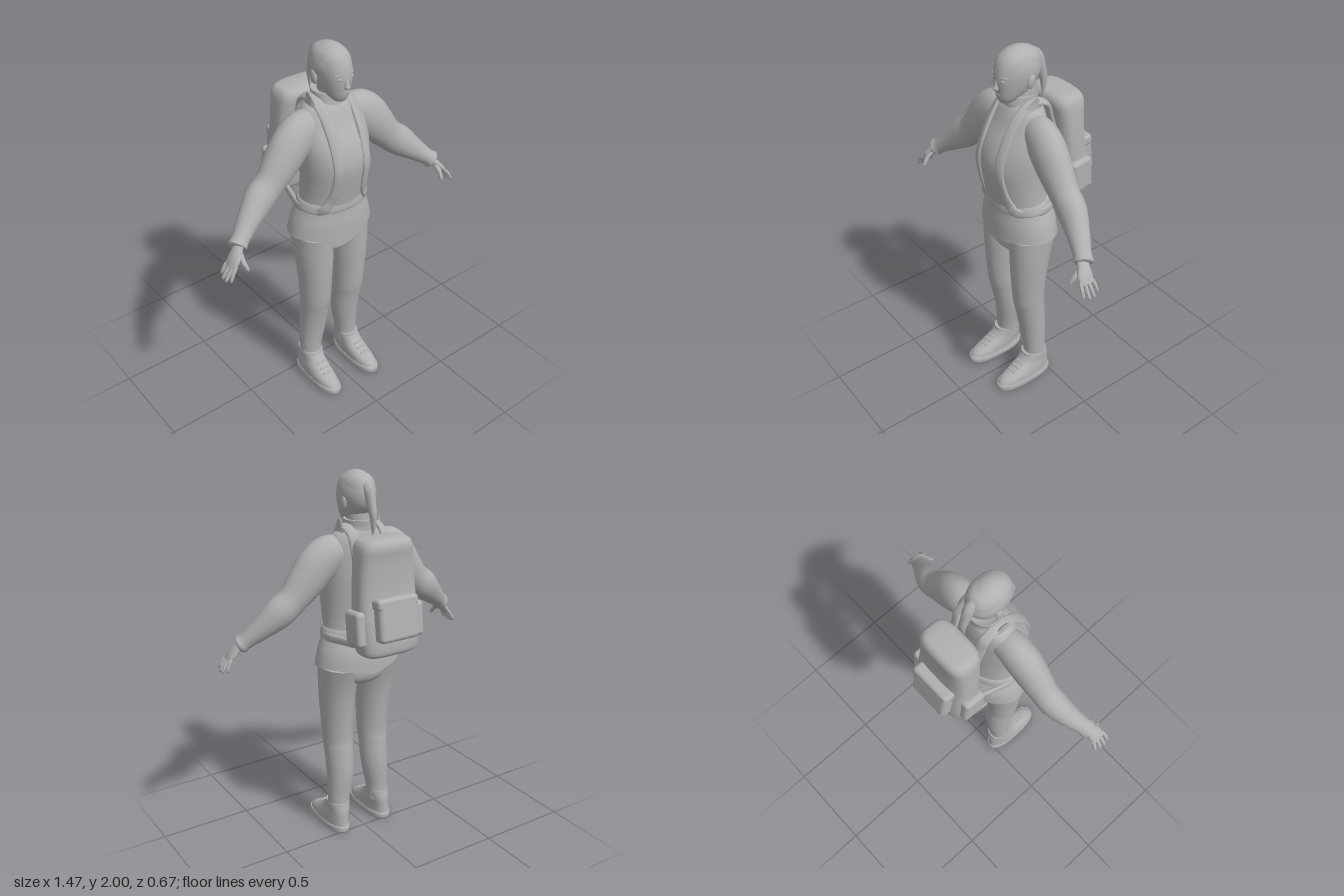
import * as THREE from 'three';
import { toCreasedNormals } from 'three/addons/utils/BufferGeometryUtils.js';
import { RoundedBoxGeometry } from 'three/addons/geometries/RoundedBoxGeometry.js';

const V = (x, y, z) => new THREE.Vector3(x, y, z);

// Catmull-Rom interpolation of rows of numbers
function smoothRows(rows, steps) {
  const out = [], n = rows.length;
  for (let i = 0; i < n - 1; i++) {
    const a = rows[Math.max(i - 1, 0)], b = rows[i], c = rows[i + 1], d = rows[Math.min(i + 2, n - 1)];
    for (let k = 0; k < steps; k++) {
      const t = k / steps;
      out.push(b.map((_, j) => b[j] + 0.5 * t * (c[j] - a[j] + t * (2 * a[j] - 5 * b[j] + 4 * c[j] - d[j]
        + t * (3 * (b[j] - c[j]) + d[j] - a[j])))));
    }
  }
  out.push(rows[n - 1]);
  return out;
}

// Skin of superellipse rings; rows are [x, y, z, radiusU, radiusV]
function loft(rows, { upright = false, exp = 2, seg = 28, steps = 4, outward = null } = {}) {
  const rings = smoothRows(rows, steps), pos = [], index = [];
  const centre = rings.map(r => V(r[0], r[1], r[2]));
  rings.forEach((r, i) => {
    const t = upright ? V(0, 1, 0)
      : centre[Math.min(i + 1, rings.length - 1)].clone().sub(centre[Math.max(i - 1, 0)]).normalize();
    const guess = upright ? V(1, 0, 0) : outward ? outward(centre[i]) : t.clone().cross(V(0, 0, 1));
    const v = guess.cross(t).normalize(), u = t.clone().cross(v);
    for (let k = 0; k < seg; k++) {
      const a = k / seg * Math.PI * 2, c = Math.cos(a), s = Math.sin(a);
      const p = centre[i].clone()
        .addScaledVector(u, Math.sign(c) * Math.abs(c) ** (2 / exp) * Math.max(r[3], 0.001))
        .addScaledVector(v, Math.sign(s) * Math.abs(s) ** (2 / exp) * Math.max(r[4], 0.001));
      pos.push(p.x, p.y, p.z);
    }
  });
  const last = (rings.length - 1) * seg, c0 = rings.length * seg;
  pos.push(...centre[0].toArray(), ...centre[centre.length - 1].toArray());
  for (let k = 0; k < seg; k++) {
    const n = (k + 1) % seg;
    for (let b = 0; b < last; b += seg) index.push(b + k, b + seg + k, b + n, b + n, b + seg + k, b + seg + n);
    index.push(c0, k, n, c0 + 1, last + n, last + k);
  }
  const g = new THREE.BufferGeometry();
  g.setAttribute('position', new THREE.Float32BufferAttribute(pos, 3));
  g.setIndex(index);
  return toCreasedNormals(g, 0.9);
}

// Jacket rings [x, y, z, halfWidth, halfDepth]
const TORSO = [[0, 0.985, 0.07, 0.243, 0.167], [0, 1.08, 0.072, 0.222, 0.163], [0, 1.18, 0.086, 0.184, 0.143],
  [0, 1.3, 0.1, 0.178, 0.152], [0, 1.42, 0.107, 0.184, 0.16], [0, 1.52, 0.096, 0.188, 0.146],
  [0, 1.62, 0.07, 0.178, 0.115], [0, 1.69, 0.057, 0.145, 0.092], [0, 1.725, 0.05, 0.085, 0.074], [0, 1.75, 0.05, 0.07, 0.066]];

function frontZ(x, y) {
  const r = smoothRows(TORSO, 8).reduce((a, b) => Math.abs(b[1] - y) < Math.abs(a[1] - y) ? b : a);
  return r[2] + r[4] * Math.sqrt(Math.max(0, 1 - (x / r[3]) ** 2));
}

export function createModel() {
  const model = new THREE.Group();
  model.name = 'hiker';
  const grey = new THREE.MeshStandardMaterial({ color: 0xb0b0b0, side: THREE.DoubleSide });
  grey.name = 'plain grey';
  const add = (name, geometry, x = 0, y = 0, z = 0) => {
    const m = new THREE.Mesh(geometry, grey);
    m.name = name;
    m.position.set(x, y, z);
    model.add(m);
    return m;
  };
  const up = { upright: true };

  // Jacket, belt, collar and hips
  const jacket = loft(TORSO, { ...up, seg: 48 }), jp = jacket.attributes.position;
  for (let i = 0; i < jp.count; i++) { // hem hangs lower at the centre front and back
    const y = jp.getY(i), drop = Math.max(0, 1.08 - y) / 0.095;
    jp.setY(i, y + drop * (0.02 - 0.035 * Math.max(0, 1 - Math.abs(jp.getX(i)) / 0.2)));
  }
  add('jacket', jacket);
  add('belt', loft([[0, 1.155, 0.082, 0.198, 0.147], [0, 1.165, 0.082, 0.2, 0.15], [0, 1.195, 0.084, 0.191, 0.147],
    [0, 1.205, 0.085, 0.185, 0.143]], { ...up, seg: 48 }));
  add('collar', loft([[0, 1.69, 0.055, 0.1, 0.086], [0, 1.73, 0.053, 0.083, 0.082], [0, 1.765, 0.046, 0.082, 0.078],
    [0, 1.76, 0.046, 0.07, 0.068]], up));
  add('hips', loft([[0, 0.87, 0.08, 0.05, 0.06], [0, 0.9, 0.08, 0.15, 0.115], [0, 0.95, 0.07, 0.21, 0.13],
    [0, 1.04, 0.07, 0.205, 0.13]], up));

  // Head, neck, hair and ponytail
  add('neck', loft([[0, 1.68, 0.055, 0.062, 0.06], [0, 1.75, 0.06, 0.055, 0.06], [0, 1.83, 0.07, 0.056, 0.07]], up));
  add('head', loft([[0, 1.732, 0.142, 0.018, 0.02], [0, 1.74, 0.138, 0.034, 0.037], [0, 1.765, 0.12, 0.053, 0.066],
    [0, 1.8, 0.092, 0.069, 0.1], [0, 1.85, 0.077, 0.081, 0.12], [0, 1.9, 0.073, 0.084, 0.118],
    [0, 1.95, 0.068, 0.075, 0.103], [0, 1.98, 0.065, 0.05, 0.07], [0, 1.993, 0.065, 0.012, 0.017]], { ...up, exp: 2.2 }));
  const hair = new THREE.SphereGeometry(1, 36, 20, 0, Math.PI * 2, 0, Math.PI * 0.56);
  hair.rotateX(-0.55);
  hair.scale(0.089, 0.113, 0.12);
  add('hair', hair, 0, 1.887, 0.07);
  add('ponytail', loft([[0, 1.945, -0.01, 0.028, 0.028], [0, 1.91, -0.04, 0.028, 0.035], [0, 1.85, -0.064, 0.023, 0.028],
    [0, 1.78, -0.083, 0.016, 0.019], [0, 1.69, -0.078, 0.003, 0.003]], { seg: 16 }));
  add('nose', loft([[0, 1.806, 0.188, 0.008, 0.01], [0, 1.816, 0.195, 0.016, 0.018], [0, 1.832, 0.193, 0.011, 0.014],
    [0, 1.875, 0.186, 0.006, 0.006]], { ...up, seg: 14 }));
  for (const [name, y, z, r] of [['upperLip', 1.785, 0.182, 0.026], ['lowerLip', 1.776, 0.178, 0.022]])
    add(name, new THREE.SphereGeometry(1, 14, 8).scale(r, 0.005, 0.01), 0, y, z);

  // Backpack with pockets
  add('backpack', loft([[0, 1.125, -0.205, 0.1, 0.045], [0, 1.135, -0.205, 0.145, 0.072], [0, 1.17, -0.205, 0.165, 0.085],
    [0, 1.3, -0.192, 0.172, 0.088], [0, 1.45, -0.176, 0.166, 0.08], [0, 1.6, -0.168, 0.155, 0.084],
    [0, 1.67, -0.167, 0.146, 0.09], [0, 1.705, -0.167, 0.125, 0.075], [0, 1.715, -0.167, 0.08, 0.045]],
  { ...up, exp: 3.4, seg: 48 }));
  add('backPocket', new RoundedBoxGeometry(0.23, 0.22, 0.075, 4, 0.025), 0, 1.33, -0.287).rotation.x = 0.13;
  add('backPocketFlap', new RoundedBoxGeometry(0.238, 0.06, 0.08, 4, 0.02), 0, 1.41, -0.274).rotation.x = 0.13;

  for (const s of [1, -1]) {
    const side = s > 0 ? 'left' : 'right';
    const flip = rows => rows.map(([x, ...rest]) => [x * s, ...rest]);
    const part = (name, rows, options) => add(side + name, loft(flip(rows), options));

    part('TrouserLeg', [[0.128, 0.12, 0.068, 0.06, 0.064], [0.126, 0.2, 0.068, 0.062, 0.061], [0.113, 0.35, 0.071, 0.075, 0.074],
      [0.112, 0.5, 0.088, 0.08, 0.083], [0.112, 0.56, 0.096, 0.083, 0.087], [0.114, 0.7, 0.096, 0.089, 0.098],
      [0.115, 0.85, 0.088, 0.099, 0.112], [0.115, 0.99, 0.07, 0.104, 0.132]], up);

    // Boot with sole and laces
    part('Sole', [[0.137, 0, 0.155, 0.061, 0.17], [0.137, 0.008, 0.155, 0.065, 0.175], [0.137, 0.032, 0.155, 0.065, 0.175],
      [0.137, 0.04, 0.155, 0.062, 0.171]], { ...up, exp: 2.5 });
    part('Boot', [[0.137, 0.03, 0.155, 0.061, 0.17], [0.137, 0.06, 0.145, 0.061, 0.158], [0.135, 0.09, 0.115, 0.06, 0.126],
      [0.132, 0.125, 0.085, 0.058, 0.095], [0.13, 0.16, 0.073, 0.06, 0.075], [0.129, 0.175, 0.072, 0.058, 0.072]],
    { ...up, exp: 2.3 });
    for (let i = 0; i < 3; i++)
      add(side + 'Lace' + i, new RoundedBoxGeometry(0.055, 0.009, 0.012, 2, 0.004), 0.135 * s, 0.094 + i * 0.017, 0.233 - i * 0.028);

    // Sleeve with cuff
    part('Sleeve', [[0.09, 1.6, 0.06, 0.08, 0.07], [0.17, 1.592, 0.066, 0.104, 0.08], [0.235, 1.545, 0.072, 0.108, 0.084],
      [0.3, 1.47, 0.078, 0.098, 0.08], [0.375, 1.387, 0.084, 0.08, 0.07], [0.445, 1.33, 0.093, 0.081, 0.07],
      [0.53, 1.258, 0.123, 0.06, 0.056], [0.6, 1.2, 0.155, 0.043, 0.045], [0.625, 1.18, 0.167, 0.047, 0.049],
      [0.63, 1.176, 0.17, 0.038, 0.04]]);

    // Hand and fingers
    part('Palm', [[0.595, 1.2, 0.155, 0.022, 0.028], [0.635, 1.165, 0.176, 0.02, 0.032], [0.665, 1.13, 0.19, 0.019, 0.042],
      [0.69, 1.1, 0.195, 0.012, 0.036]], { seg: 18 });
    for (let i = 0; i < 4; i++) {
      const z = 0.165 + i * 0.021, d = [0.012, 0, 0, 0.01][i];
      part('Finger' + i, [[0.675, 1.117, z, 0.009, 0.009], [0.702 - d / 2, 1.082 + d, z + (i - 1.5) * 0.004, 0.01, 0.01],
        [0.725 - d, 1.047 + d, z + (i - 1.5) * 0.007, 0.008, 0.008], [0.729 - d, 1.038 + d, z + (i - 1.5) * 0.008, 0.002, 0.002]],
      { seg: 10 });
    }
    part('Thumb', [[0.63, 1.16, 0.19, 0.014, 0.012], [0.636, 1.127, 0.225, 0.013, 0.012], [0.63, 1.095, 0.25, 0.009, 0.009],
      [0.628, 1.083, 0.258, 0.002, 0.002]], { seg: 10 });

    // Shoulder strap, from the pack over the shoulder and around the waist
    const chest = [[0.088, 1.64], [0.086, 1.54], [0.086, 1.42], [0.09, 1.3], [0.105, 1.23], [0.14, 1.175]]
      .map(([x, y]) => [x, y, frontZ(x, y) + 0.003, 0.011, 0.026]);
    part('Strap', [[0.085, 1.5, -0.1, 0.011, 0.026], [0.088, 1.62, -0.062, 0.011, 0.026], [0.09, 1.7, -0.035, 0.011, 0.026],
      [0.092, 1.735, 0.04, 0.011, 0.026], [0.09, 1.7, 0.11, 0.011, 0.026], ...chest, [0.186, 1.165, 0.075, 0.011, 0.024],
      [0.165, 1.165, -0.02, 0.011, 0.022], [0.13, 1.17, -0.14, 0.011, 0.02]],
    { seg: 16, exp: 3, steps: 6, outward: p => V(p.x * 0.6, p.y - THREE.MathUtils.clamp(p.y, 1.1, 1.58), p.z - 0.07) });
    part('CollarPoint', [[0.105, 1.69, 0.06, 0.018, 0.05], [0.108, 1.73, 0.055, 0.009, 0.035], [0.118, 1.77, 0.05, 0.002, 0.008]],
      { ...up, seg: 14 });

    // Pack side pocket
    add(side + 'SidePocket', new RoundedBoxGeometry(0.06, 0.18, 0.125, 4, 0.022), 0.17 * s, 1.28, -0.19).rotation.x = 0.1;

    // Face details
    add(side + 'Ear', new THREE.SphereGeometry(1, 14, 12).scale(0.012, 0.036, 0.022), 0.085 * s, 1.843, 0.055).rotation.x = -0.2;
    add(side + 'Eye', new THREE.SphereGeometry(1, 14, 10).scale(0.015, 0.008, 0.008), 0.034 * s, 1.86, 0.183);
    const brow = add(side + 'Brow', new THREE.SphereGeometry(1, 14, 8).scale(0.022, 0.005, 0.008), 0.036 * s, 1.881, 0.18);
    brow.rotation.set(0, 0.35 * s, -0.08 * s);
  }
  return model;
}
